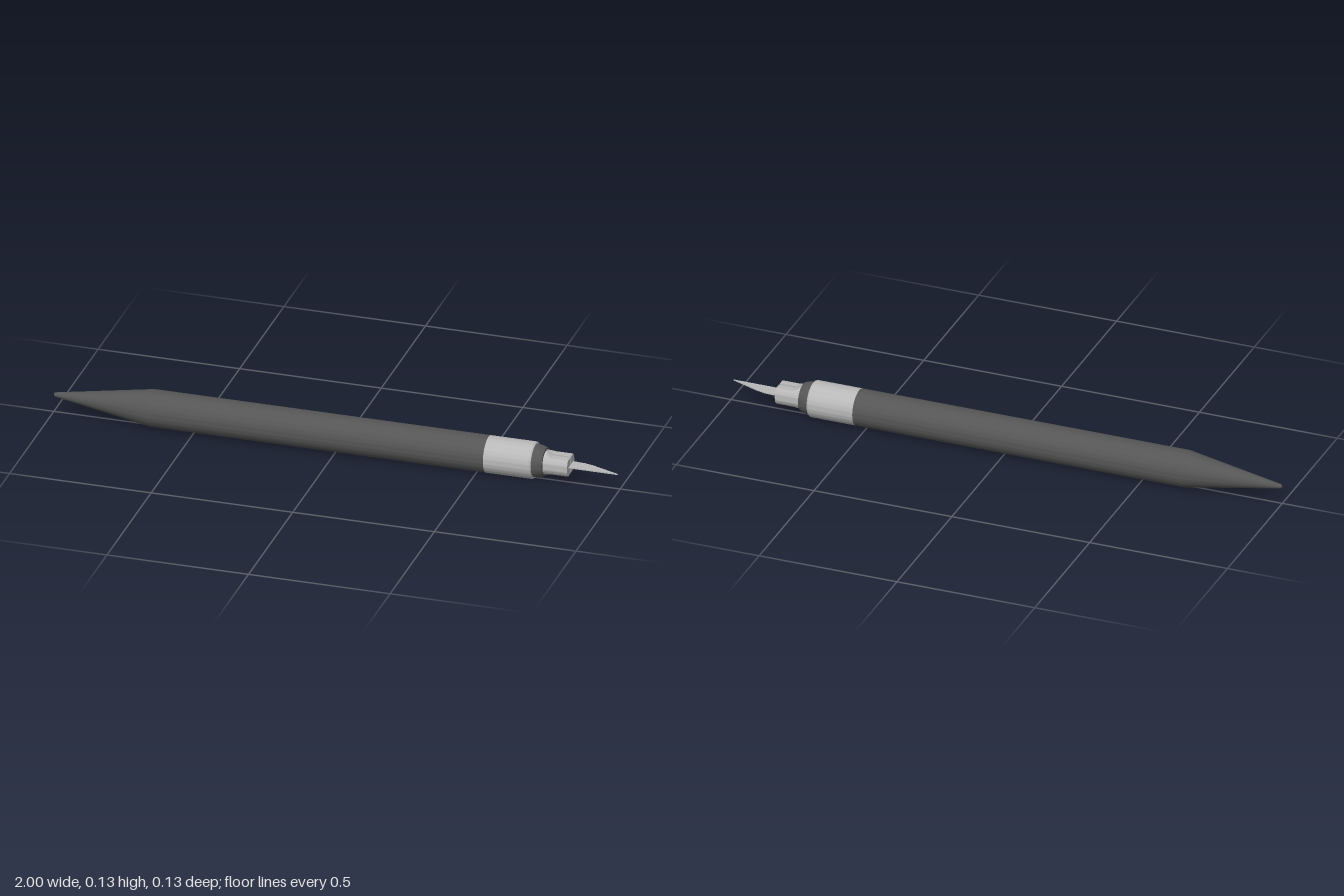
import * as THREE from 'three';
import { toCreasedNormals } from 'three/addons/utils/BufferGeometryUtils.js';

const AXIS = 0.064; // height of the handle's centre line

// Turned part along x from [x, radius] pairs
function turned(name, profile, material) {
  const lathe = new THREE.LatheGeometry(profile.map(([x, r]) => new THREE.Vector2(r, x)), 64);
  lathe.rotateZ(-Math.PI / 2);
  const mesh = new THREE.Mesh(toCreasedNormals(lathe, 0.4), material);
  mesh.name = name;
  return mesh;
}

// One half of the split chuck: a half round with flats that sweep out at the root
function jawGeometry() {
  const R = 0.042, slot = 0.004, N = 32;
  const stations = [[0.735, R]];
  for (let i = 0; i <= 6; i++) {
    const a = (i / 6) * Math.PI / 2;
    stations.push([0.742 + 0.022 * Math.sin(a), 0.03 + (R - 0.03) * (1 - Math.sin(a)) ** 1.3]);
  }
  stations.push([0.825, 0.03]);
  const rings = stations.map(([x, h]) => {
    const ring = [];
    for (let j = 0; j <= N; j++) {
      const a = -Math.PI / 2 + (j / N) * Math.PI;
      const y = THREE.MathUtils.clamp(R * Math.sin(a), -h, h);
      ring.push([x, y, Math.max(slot, R * Math.cos(a))]);
    }
    return ring;
  });
  const pos = [];
  const tri = (a, b, c) => pos.push(...a, ...b, ...c);
  for (let i = 0; i < rings.length - 1; i++) {
    for (let j = 0; j <= N; j++) {
      const k = (j + 1) % (N + 1);
      tri(rings[i][j], rings[i + 1][j], rings[i + 1][k]);
      tri(rings[i][j], rings[i + 1][k], rings[i][k]);
    }
  }
  // end face
  const end = rings[rings.length - 1];
  for (let j = 0; j <= N; j++) tri([0.825, 0, 0.015], end[(j + 1) % (N + 1)], end[j]);
  const geometry = new THREE.BufferGeometry();
  geometry.setAttribute('position', new THREE.Float32BufferAttribute(pos, 3));
  return toCreasedNormals(geometry, 0.5);
}

export function createModel() {
  const model = new THREE.Group();
  model.name = 'craftKnife';
  const dark = new THREE.MeshStandardMaterial({ name: 'darkGrey', color: 0x555555 });
  const silver = new THREE.MeshStandardMaterial({ name: 'silver', color: 0xb8b8b8 });

  // Handle with a long taper and rounded tail
  model.add(turned('handle', [
    [-1, 0], [-0.999, 0.004], [-0.996, 0.007], [-0.99, 0.0085],
    [-0.655, 0.0635], [-0.645, 0.064], [0.535, 0.064],
  ], dark));

  // Metal collar
  model.add(turned('collar', [
    [0.535, 0.064], [0.697, 0.064], [0.702, 0.061], [0.702, 0.05],
  ], silver));

  // Dark neck between collar and chuck
  model.add(turned('neck', [
    [0.695, 0.056], [0.718, 0.056], [0.733, 0.051], [0.738, 0.049], [0.738, 0],
  ], dark));

  // Split chuck
  const jaw = jawGeometry();
  for (const [name, turn] of [['frontJaw', 0], ['backJaw', Math.PI]]) {
    const mesh = new THREE.Mesh(jaw, silver);
    mesh.name = name;
    mesh.rotation.x = turn;
    model.add(mesh);
  }

  // Flat pointed blade, lying in the horizontal plane
  const outline = new THREE.Shape([
    [0.75, -0.028], [0.825, -0.028], [0.868, -0.025], [0.9, -0.017],
    [1, 0.022], [0.82, 0.022], [0.75, 0.022],
  ].map(([x, z]) => new THREE.Vector2(x, z)));
  const bladeGeometry = new THREE.ExtrudeGeometry(outline, { depth: 0.004, bevelEnabled: false });
  bladeGeometry.translate(0, 0, -0.002);
  bladeGeometry.rotateX(Math.PI / 2);
  const blade = new THREE.Mesh(bladeGeometry, silver);
  blade.name = 'blade';
  model.add(blade);

  for (const part of model.children) part.position.y = AXIS;
  return model;
}
